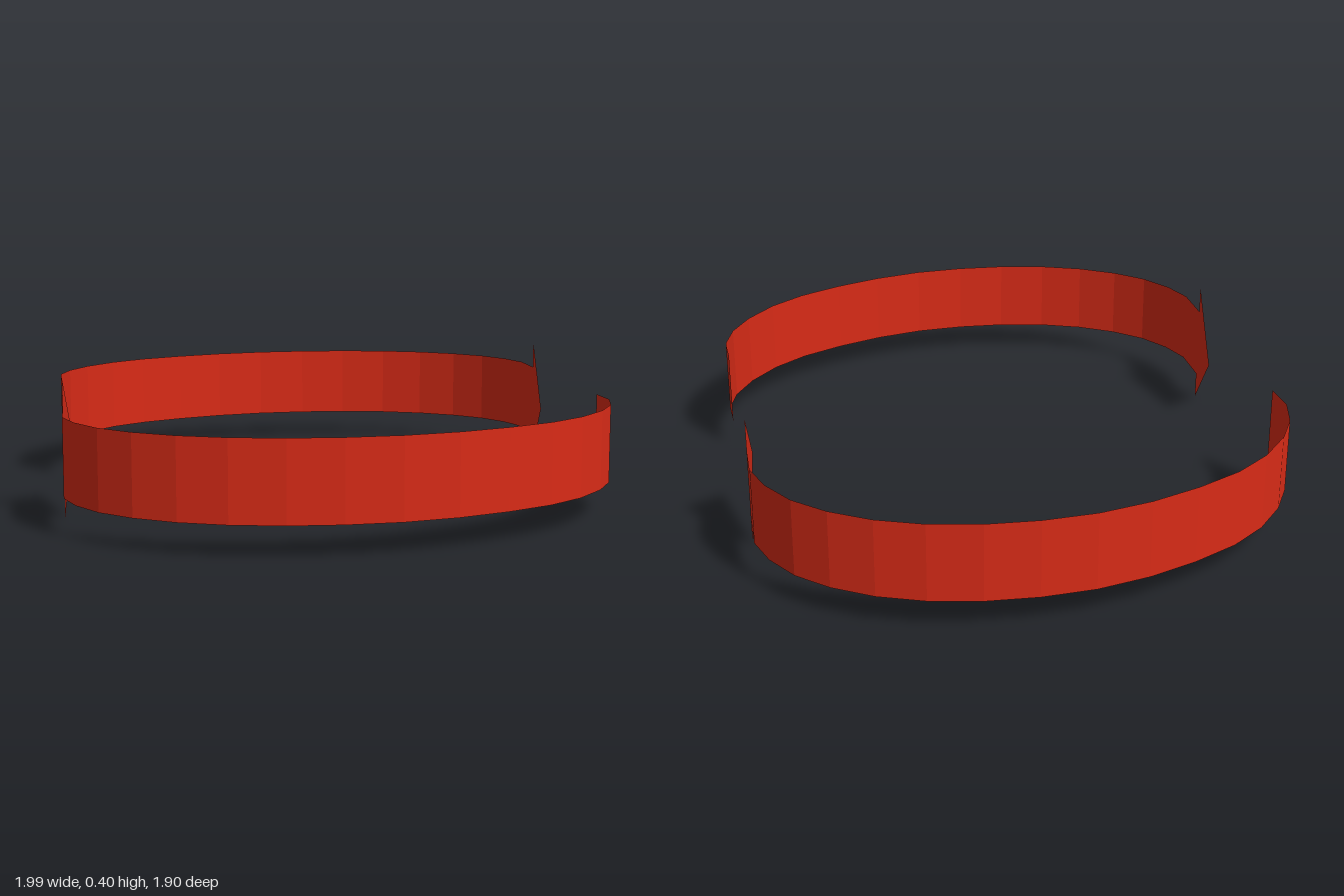
import * as THREE from 'three';

const MID = 0.1975;      // height of the arrows' centre line
const BAND = 0.225;      // height of the curved band
const HEAD = 0.395;      // height of the arrow head
const HEAD_LENGTH = 0.2;

// Path of one arrow on the ground plane [x, z], from tail to head
const PATH = [
  [-0.44, -0.72], [-0.375, -0.81], [-0.288, -0.875], [-0.178, -0.922], [-0.045, -0.95],
  [0.09, -0.95], [0.238, -0.922], [0.385, -0.877], [0.528, -0.811], [0.656, -0.725],
  [0.768, -0.627], [0.864, -0.515], [0.934, -0.397], [0.978, -0.275], [0.995, -0.157],
  [0.981, -0.043], [0.944, 0.058], [0.852, 0.175],
];

const material = new THREE.MeshStandardMaterial({
  color: 0xd92b17, flatShading: true, side: THREE.DoubleSide,
});

function makeMesh(name, geometry) {
  const mesh = new THREE.Mesh(geometry, material);
  mesh.name = name;
  return mesh;
}

// Upright ribbon: a strip of panels bent along the path
function makeBand() {
  const n = PATH.length;
  const geometry = new THREE.PlaneGeometry(1, BAND, n - 1, 1);
  const pos = geometry.attributes.position;
  for (let i = 0; i < pos.count; i++) {
    const [x, z] = PATH[i % n];
    pos.setXYZ(i, x, pos.getY(i) + MID, z);
  }
  geometry.computeVertexNormals();
  return makeMesh('curvedBand', geometry);
}

// Flat triangular head, pointing diagonally inward
function makeHead() {
  const shape = new THREE.Shape();
  shape.moveTo(0, -HEAD / 2);
  shape.lineTo(HEAD_LENGTH, 0);
  shape.lineTo(0, HEAD / 2);
  shape.closePath();
  const head = makeMesh('arrowHead', new THREE.ShapeGeometry(shape));
  const [x, z] = PATH[PATH.length - 1];
  head.position.set(x, MID, z);
  head.rotation.y = -Math.PI * 0.75;
  return head;
}

export function createModel() {
  const model = new THREE.Group();
  model.name = 'rotationArrows';

  // Two identical arrows, half a turn apart
  ['backArrow', 'frontArrow'].forEach((name, i) => {
    const arrow = new THREE.Group();
    arrow.name = name;
    arrow.add(makeBand(), makeHead());
    arrow.rotation.y = i * Math.PI;
    model.add(arrow);
  });
  return model;
}
